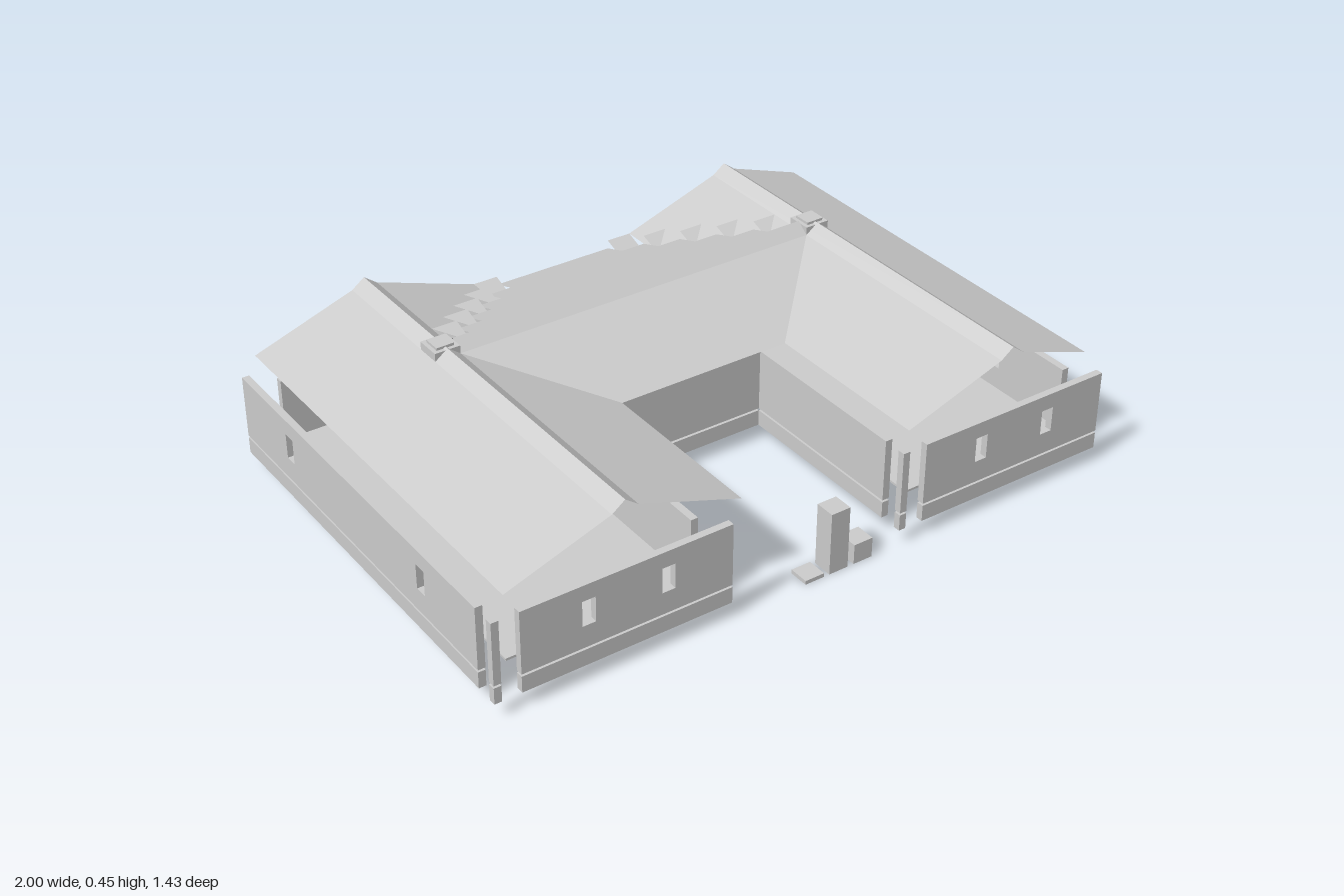
import * as THREE from 'three';

export function createModel() {
  const group = new THREE.Group();
  const grey = new THREE.MeshStandardMaterial({ color: 0xcccccc, side: THREE.DoubleSide });
  grey.name = 'plain grey';

  function add(name, geometry) {
    const mesh = new THREE.Mesh(geometry, grey);
    mesh.name = name;
    group.add(mesh);
    return mesh;
  }

  // Box given by its limits on each axis
  function box(name, x0, x1, y0, y1, z0, z1) {
    const g = new THREE.BoxGeometry(x1 - x0, y1 - y0, z1 - z0);
    g.translate((x0 + x1) / 2, (y0 + y1) / 2, (z0 + z1) / 2);
    return add(name, g);
  }

  const T = 0.022;            // panel thickness
  const FLOOR = 0.107, TOP = 0.3;

  // Wall on a plinth; runs along x or z from a to b, with window holes
  function wall(name, axis, a, b, at, windows = [], outline = null) {
    const pts = outline || [[a, TOP], [b, TOP]];
    const shape = new THREE.Shape();
    shape.moveTo(a, FLOOR);
    pts.forEach(p => shape.lineTo(p[0], p[1]));
    shape.lineTo(b, FLOOR);
    shape.closePath();
    for (const w of windows) {
      const hole = new THREE.Path();
      hole.moveTo(w - 0.02, 0.175);
      hole.lineTo(w + 0.02, 0.175);
      hole.lineTo(w + 0.02, 0.252);
      hole.lineTo(w - 0.02, 0.252);
      hole.closePath();
      shape.holes.push(hole);
    }
    const g = new THREE.ExtrudeGeometry(shape, { depth: T, bevelEnabled: false });
    if (axis === 'x') {
      g.translate(0, 0, at);
      box(name + 'Plinth', a, b, 0.05, 0.1, at, at + T);
    } else {
      g.rotateY(-Math.PI / 2);          // shape x becomes z
      g.translate(at + T, 0, 0);
      box(name + 'Plinth', at, at + T, 0.05, 0.1, a, b);
    }
    add(name, g);
  }

  // Roof height at a distance from the ridge
  const roofY = d => (d < 0.04 ? 0.445 - d * 0.75 : 0.415 - (d - 0.04) * 0.344);

  // Thin sheet through four corners
  function sheet(name, corners) {
    const g = new THREE.BufferGeometry();
    g.setAttribute('position', new THREE.Float32BufferAttribute(corners.flat(), 3));
    g.setIndex([0, 1, 2, 0, 2, 3]);
    g.computeVertexNormals();
    return add(name, g);
  }

  // Floor slab in a U shape round the courtyard
  box('floorLeftWing', -0.92, -0.28, 0.1, FLOOR, 0, 0.635);
  box('floorRightWing', 0.36, 1, 0.1, FLOOR, 0, 0.635);
  box('floorMain', -0.92, 1, 0.1, FLOOR, -0.64, 0);

  // Outer and courtyard walls
  wall('frontWallA', 'x', -0.92, -0.28, 0.688, [-0.72, -0.48]);
  wall('frontWallB', 'x', 0.36, 1, 0.688, [0.56, 0.8]);
  wall('sideWallA', 'z', -0.64, 0.635, -1, [-0.36, 0.36]);
  wall('sideWallB', 'z', -0.56, 0.635, 0.92, [-0.36, 0.36]);
  wall('courtWallA', 'z', 0.07, 0.635, -0.36);
  wall('courtWallB', 'z', 0.07, 0.635, 0.28);
  wall('courtBackWall', 'x', -0.28, 0.28, 0.048);

  // Back wall with a stepped gable under each wing roof
  const steps = [];
  for (const ridge of [-0.56, 0.72]) {
    for (let k = -4; k <= 4; k++) {
      const x0 = ridge + k * 0.08 - 0.04;
      const y = Math.abs(k) === 4 ? TOP : roofY(Math.abs(k) * 0.08 + 0.04);
      if (x0 > 0.93) continue;
      steps.push([x0, y], [x0 + 0.08, y]);
    }
  }
  wall('backWall', 'x', -0.92, 1, -0.583, [-0.52, -0.28, 0.44, 0.68], steps);

  // Corner posts
  for (const x of [-1, 0.28]) {
    box('frontPostFoot', x, x + T, 0.05, 0.1, 0.688, 0.71);
    box('frontPost', x, x + T, FLOOR, TOP, 0.688, 0.71);
  }
  box('backPost', 0.92, 0.946, 0.04, 0.33, -0.586, -0.56);

  // Wing roofs
  for (const [ridge, left, right] of [[-0.56, -0.92, -0.2], [0.72, 0.36, 1]]) {
    const xs = [left, ridge - 0.04, ridge, ridge + 0.04, right];
    for (let i = 0; i < 4; i++) {
      const [a, b] = [xs[i], xs[i + 1]];
      const [ya, yb] = [roofY(Math.abs(a - ridge)), roofY(Math.abs(b - ridge))];
      sheet('wingRoof', [[a, ya, -0.72], [a, ya, 0.635], [b, yb, 0.635], [b, yb, -0.72]]);
    }
  }

  // Main roof, one row at a time, narrowing towards the eaves
  const ridgeZ = -0.28, midX = 0.08;
  function roofRow(name, z0, z1, x0, x1, flip = false) {
    let y0 = roofY(Math.abs(z0 - ridgeZ)), y1 = roofY(Math.abs(z1 - ridgeZ));
    if (flip) [y0, y1] = [y1, y0];
    sheet(name, [[x0, y0, z0], [x0, y1, z1], [x1, y1, z1], [x1, y0, z0]]);
  }
  roofRow('mainRoofRidgeBack', -0.32, ridgeZ, midX - 0.6, midX + 0.6);
  roofRow('mainRoofRidgeFront', ridgeZ, -0.24, midX - 0.6, midX + 0.6);
  for (let i = 0; i < 5; i++) {
    const z = -0.4 - i * 0.08, half = 0.52 - i * 0.08;
    roofRow('mainRoofBack', z, z + 0.08, midX - half, midX + half);
    // Valley tiles tilt the other way
    roofRow('valleyTile', z, z + 0.08, midX - half - 0.08, midX - half, true);
    roofRow('valleyTile', z, z + 0.08, midX + half, midX + half + 0.08, true);
  }
  for (let i = 0; i < 4; i++) {
    const z = -0.24 + i * 0.08, half = 0.6 - i * 0.08;
    roofRow('mainRoofFront', z, z + 0.08, midX - half, midX + half);
  }

  // Ridge caps where the roofs cross
  for (const x of [-0.56, 0.72]) {
    box('ridgeCap', x - 0.04, x + 0.04, 0.415, 0.44, -0.32, -0.24);
    box('ridgeCapTop', x - 0.028, x + 0.028, 0.44, 0.448, -0.308, -0.252);
  }

  // Back doorstep and the three blocks in front of the courtyard
  box('doorstep', 0, 0.16, 0.06, FLOOR, -0.72, -0.64);
  [[-0.035, 0.012], [0.045, 0.195], [0.128, 0.062]].forEach(([x, h]) =>
    box('yardBlock', x, x + 0.062, 0, h, 0.645, 0.707));

  return group;
}
